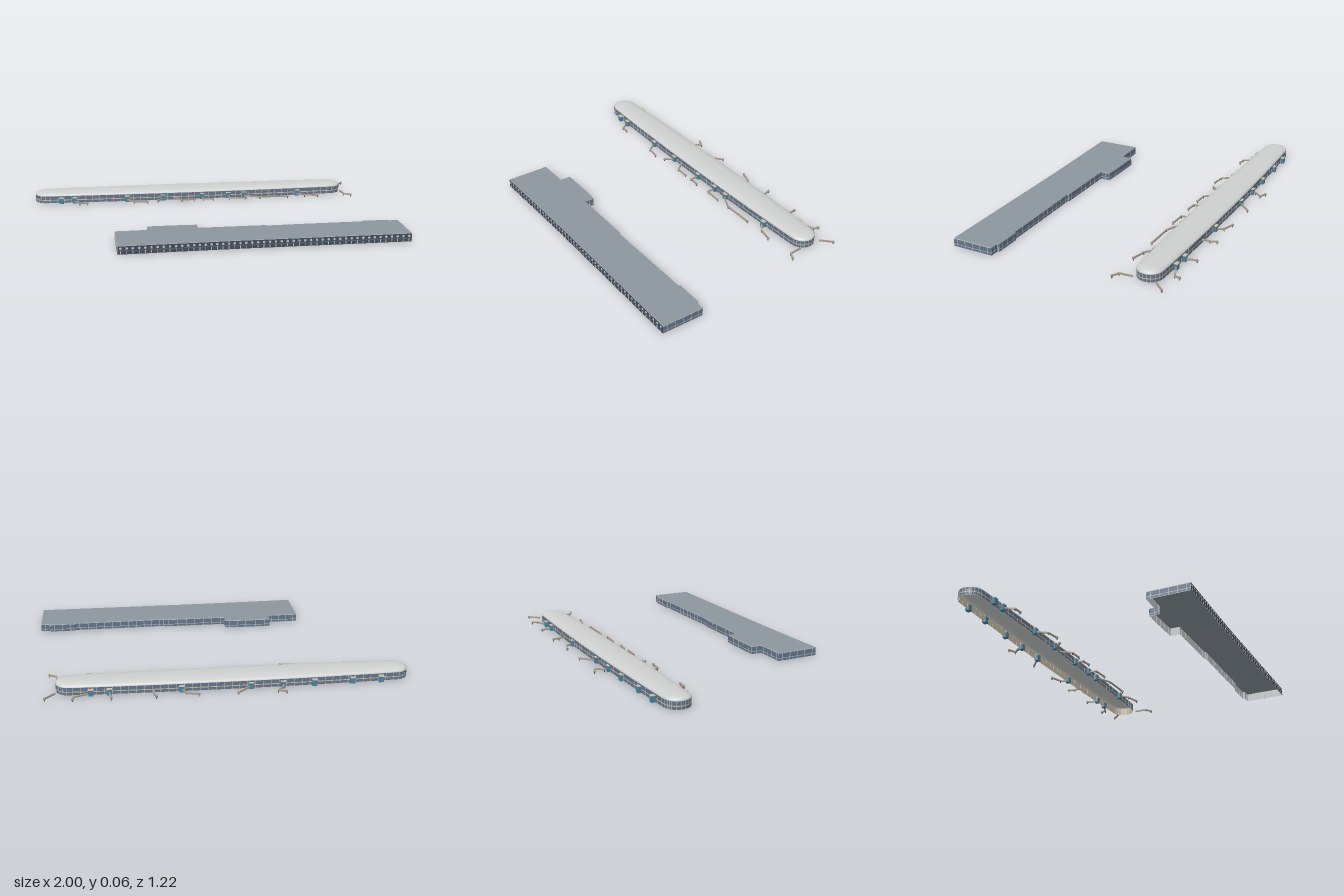
import * as THREE from 'three';
import { mergeGeometries } from 'three/addons/utils/BufferGeometryUtils.js';

const mat = (name, color) => new THREE.MeshStandardMaterial({ name, color, side: THREE.DoubleSide });

// Upright strip following a closed [x, z] outline, pushed outwards by off
function band(pts, y0, y1, off = 0, keep = () => true) {
  const v = [];
  pts.forEach((a, i) => {
    const b = pts[(i + 1) % pts.length];
    const dx = b[0] - a[0], dz = b[1] - a[1], l = Math.hypot(dx, dz);
    if (l < 1e-6 || !keep(dx / l, dz / l)) return;
    const ox = -dz / l * off, oz = dx / l * off;
    const p = (q, y) => [q[0] + ox, y, q[1] + oz];
    v.push(...p(a, y0), ...p(b, y0), ...p(b, y1), ...p(a, y0), ...p(b, y1), ...p(a, y1));
  });
  const g = new THREE.BufferGeometry();
  g.setAttribute('position', new THREE.Float32BufferAttribute(v, 3));
  g.computeVertexNormals();
  return g;
}

// Repeats a small part at even steps along the outline, facing outwards
function along(pts, step, make, keep = () => true) {
  const out = [];
  pts.forEach((a, i) => {
    const b = pts[(i + 1) % pts.length];
    const dx = b[0] - a[0], dz = b[1] - a[1], l = Math.hypot(dx, dz);
    if (l < 1e-6 || !keep(dx / l, dz / l)) return;
    const n = Math.max(1, Math.round(l / step));
    for (let k = 0; k < n; k++) {
      const t = (k + 0.5) / n;
      out.push(make().rotateY(Math.atan2(-dz, dx)).translate(a[0] + dx * t, 0, a[1] + dz * t));
    }
  });
  return mergeGeometries(out);
}

const box = (w, h, d, x, y, z) => new THREE.BoxGeometry(w, h, d).translate(x, y, z);

// Long rounded plan of the concourse, scaled about its spine
const CZ = -0.441, X0 = -0.93, X1 = 0.81, R = 0.069;
function plan(s) {
  const pts = [], N = 14, M = 10;
  const half = t => (R + 0.016 * Math.pow(Math.sin(Math.PI * t), 0.8)) * s;
  for (let i = 0; i < N; i++) pts.push([X0 + (X1 - X0) * i / N, CZ + half(i / N)]);
  for (let i = 0; i < M; i++) {
    const a = Math.PI * (0.5 - i / M);
    pts.push([X1 + R * s * Math.cos(a), CZ + R * s * Math.sin(a)]);
  }
  for (let i = 0; i < N; i++) pts.push([X1 - (X1 - X0) * i / N, CZ - half(1 - i / N)]);
  for (let i = 0; i < M; i++) {
    const a = Math.PI * (0.5 + i / M);
    pts.push([X0 - R * s * Math.sin(a - Math.PI / 2 + Math.PI / 2), CZ + R * s * Math.cos(a + Math.PI / 2)]);
    const p = pts[pts.length - 1], q = -Math.PI / 2 - Math.PI * i / M;
    p[0] = X0 + R * s * Math.cos(q);
    p[1] = CZ + R * s * Math.sin(q);
  }
  return pts;
}

// Smooth shell lofted through shrinking rings of the concourse plan
function domeRoof() {
  const v = [], idx = [], rings = 10, n = plan(1).length;
  for (let j = 0; j <= rings; j++) {
    const a = j / rings * Math.PI / 2, s = Math.pow(Math.cos(a), 0.85) + 0.0005;
    plan(s).forEach(p => v.push(p[0], 0.043 + 0.022 * Math.sin(a), p[1]));
  }
  for (let j = 0; j < rings; j++) for (let i = 0; i < n; i++) {
    const a = j * n + i, b = j * n + (i + 1) % n;
    idx.push(a, b, b + n, a, b + n, a + n);
  }
  const g = new THREE.BufferGeometry();
  g.setAttribute('position', new THREE.Float32BufferAttribute(v, 3));
  g.setIndex(idx);
  g.computeVertexNormals();
  return g;
}

// Gate bridges as [x, z] paths
const BRIDGES = [
  [[-0.31, -0.535], [-0.31, -0.55], [-0.275, -0.59], [-0.315, -0.608]],
  [[-0.135, -0.53], [-0.065, -0.595]],
  [[0.225, -0.53], [0.205, -0.57], [0.14, -0.592]],
  [[0.37, -0.52], [0.37, -0.56], [0.36, -0.596]],
  [[0.6, -0.53], [0.59, -0.588]],
  [[0.7, -0.525], [0.782, -0.556], [0.788, -0.585]],
  [[0.88, -0.507], [0.93, -0.56]],
  [[-0.765, -0.35], [-0.735, -0.303], [-0.69, -0.3]],
  [[-0.45, -0.345], [-0.41, -0.292], [-0.335, -0.282]],
  [[-0.235, -0.345], [-0.27, -0.302]],
  [[-0.17, -0.36], [-0.125, -0.302], [-0.05, -0.3]],
  [[0.005, -0.345], [0.005, -0.302], [0.065, -0.297]],
  [[0.165, -0.345], [0.167, -0.302], [0.265, -0.297]],
  [[0.265, -0.345], [0.355, -0.303], [0.525, -0.302]],
  [[0.595, -0.345], [0.635, -0.312], [0.712, -0.294]],
  [[0.875, -0.375], [0.88, -0.305], [0.918, -0.285]],
];
const GATES = {
  back: [-0.84, -0.685, -0.48, -0.31, -0.14, 0.225, 0.6, 0.695],
  front: [-0.845, -0.765, -0.45, -0.235, 0.005, 0.165, 0.265, 0.595],
};

// Terminal plan, front edge first
const TERMINAL = [[-0.545, 0.607], [-0.2, 0.6], [0.1, 0.596], [0.998, 0.596], [0.998, 0.364], [0.95, 0.364],
  [0.945, 0.353], [0.8, 0.353], [0.795, 0.362], [0.5, 0.364], [0.27, 0.368], [0.26, 0.36], [-0.105, 0.36],
  [-0.105, 0.305], [-0.2, 0.301], [-0.375, 0.301], [-0.375, 0.362], [-0.55, 0.364]];

export function createModel() {
  const model = new THREE.Group();
  const M = {
    roof: mat('pale roof', 0xcdd0cf), slab: mat('grey roof', 0x8d969d), glass: mat('blue grey glass', 0x65758a),
    beige: mat('beige panel', 0xcdbda6), frame: mat('light frame', 0xc3c7ca), teal: mat('teal glass', 0x4b869e),
    dark: mat('dark openings', 0x454d58), bridge: mat('bridge cladding', 0xa89c8c),
  };
  const group = name => {
    const g = new THREE.Group();
    g.name = name;
    model.add(g);
    return g;
  };
  const add = (g, name, geo, m) => {
    const mesh = new THREE.Mesh(geo, m);
    mesh.name = name;
    g.add(mesh);
  };

  // Concourse: beige shell, two glazed storeys and a domed roof
  const concourse = group('concourse'), wall = plan(0.985);
  add(concourse, 'concourseShell', band(wall, 0, 0.044), M.beige);
  add(concourse, 'concourseGlass', mergeGeometries([
    band(wall, 0.001, 0.016, 0.001), band(wall, 0.021, 0.042, 0.001)]), M.glass);
  add(concourse, 'concourseMullions', along(wall, 0.04, () => box(0.0025, 0.042, 0.003, 0, 0.021, 0)), M.frame);
  add(concourse, 'concourseRoof', domeRoof(), M.roof);

  // Gate houses: teal glazed boxes with beige caps
  const gates = group('gateHouses');
  const housing = [], caps = [];
  for (const [list, z] of [[GATES.back, -0.526], [GATES.front, -0.355]]) for (const x of list) {
    const inset = Math.abs(x) > 0.5 ? Math.sign(CZ - z) * 0.004 : 0;
    housing.push(box(0.026, 0.032, 0.024, x, 0.016, z + inset));
    caps.push(box(0.029, 0.003, 0.027, x, 0.0335, z + inset));
  }
  add(gates, 'gateHouseWalls', mergeGeometries(housing), M.teal);
  add(gates, 'gateHouseCaps', mergeGeometries(caps), M.beige);

  // Bridges: tubes on legs with a cab at the far end
  const bridges = group('gateBridges');
  const tubes = [], legs = [], cabs = [];
  for (const path of BRIDGES) {
    for (let i = 1; i < path.length; i++) {
      const [a, b] = [path[i - 1], path[i]], dx = b[0] - a[0], dz = b[1] - a[1];
      tubes.push(box(Math.hypot(dx, dz) + 0.004, 0.008, 0.008, 0, 0.013, 0)
        .rotateY(Math.atan2(-dz, dx)).translate((a[0] + b[0]) / 2, 0, (a[1] + b[1]) / 2));
      legs.push(box(0.004, 0.01, 0.004, b[0], 0.005, b[1]));
    }
    const [x, z] = path[path.length - 1];
    cabs.push(new THREE.CylinderGeometry(0.0065, 0.0065, 0.01, 8).translate(x, 0.013, z));
  }
  add(bridges, 'bridgeTubes', mergeGeometries(tubes), M.bridge);
  add(bridges, 'bridgeLegs', mergeGeometries(legs), M.dark);
  add(bridges, 'bridgeCabs', mergeGeometries(cabs), M.bridge);

  // Terminal: flat roof over glazed back and ends
  const terminal = group('terminal');
  const isFront = dx => dx > 0.9, notFront = dx => !isFront(dx);
  const shape = new THREE.Shape(TERMINAL.map(p => new THREE.Vector2(p[0], -p[1])));
  add(terminal, 'terminalRoof', new THREE.ShapeGeometry(shape).rotateX(-Math.PI / 2).translate(0, 0.046, 0), M.slab);
  add(terminal, 'terminalShell', band(TERMINAL, 0, 0.046), M.frame);
  add(terminal, 'terminalGlass', mergeGeometries([
    band(TERMINAL, 0.002, 0.013, 0.001, notFront), band(TERMINAL, 0.016, 0.042, 0.001, notFront)]), M.glass);
  add(terminal, 'terminalMullions', along(TERMINAL, 0.05, () => box(0.003, 0.044, 0.003, 0, 0.022, 0), notFront), M.frame);

  // Front arcade: dark openings behind pale six-sided panels and posts
  add(terminal, 'arcadeOpenings', band(TERMINAL, 0.001, 0.044, 0.001, isFront), M.dark);
  add(terminal, 'arcadePanels', along(TERMINAL, 0.031, () => mergeGeometries([
    new THREE.CylinderGeometry(0.007, 0.007, 0.004, 6).rotateX(Math.PI / 2).translate(0, 0.032, 0.001),
    box(0.004, 0.014, 0.004, 0, 0.011, 0.001),
  ]), isFront), M.frame);
  add(terminal, 'arcadeRail', band(TERMINAL, 0.019, 0.022, 0.0025, isFront), M.glass);
  return model;
}
